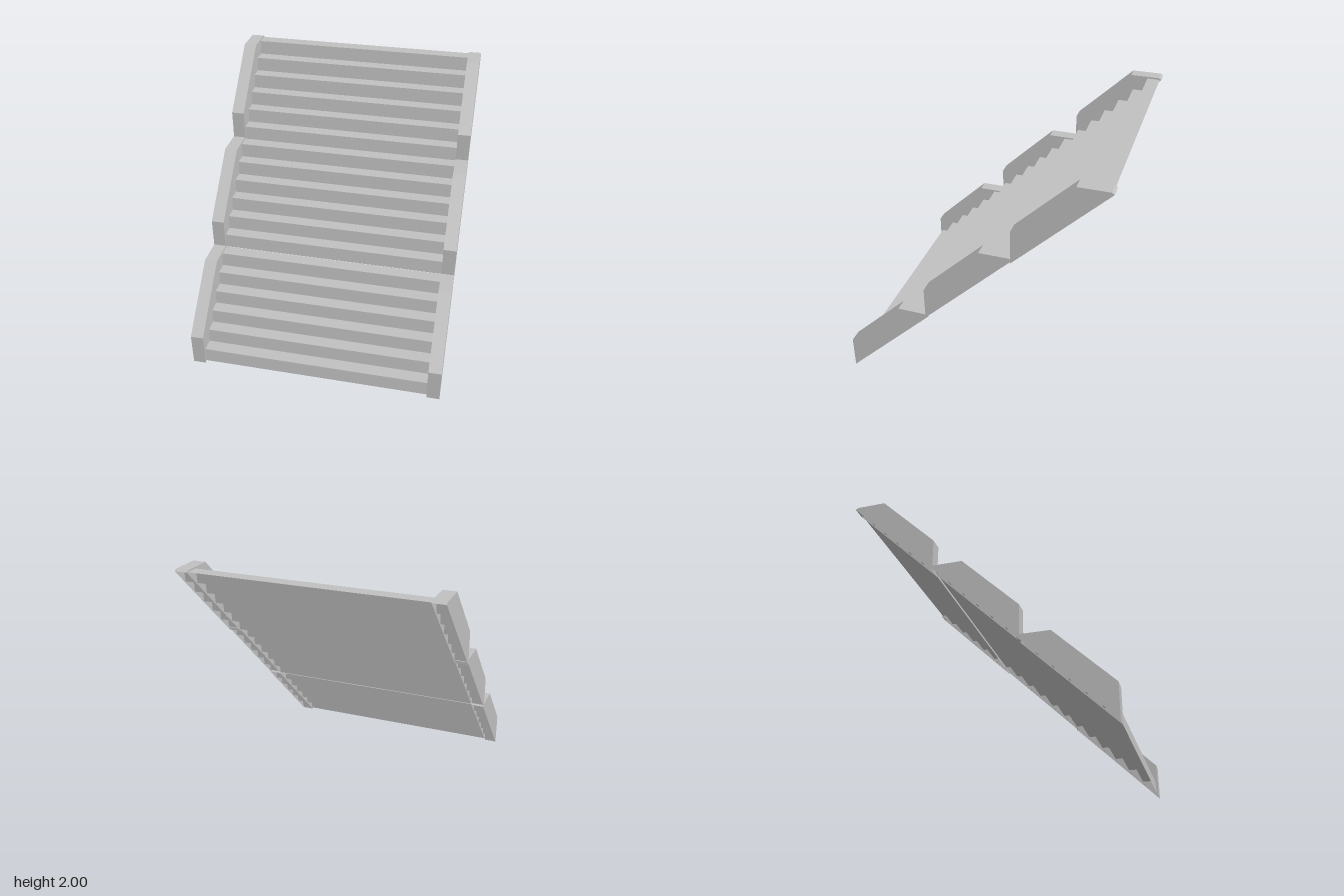
import * as THREE from 'three';

const grey = new THREE.MeshStandardMaterial({ color: 0xbfbfbf, side: THREE.DoubleSide });
grey.name = 'grey';

// Folded sheet: a [z, y] profile swept along x from x0 to x1
function foldedSheet(profile, x0, x1) {
  const pos = [];
  for (let i = 0; i < profile.length - 1; i++) {
    const [za, ya] = profile[i], [zb, yb] = profile[i + 1];
    const a = [x0, ya, za], b = [x1, ya, za], c = [x1, yb, zb], d = [x0, yb, zb];
    pos.push(...a, ...b, ...c, ...a, ...c, ...d);
  }
  const geo = new THREE.BufferGeometry();
  geo.setAttribute('position', new THREE.Float32BufferAttribute(pos, 3));
  geo.computeVertexNormals();
  return geo;
}

// Flat upright plate from a [z, y] outline, placed at x
function sidePlate(outline, x) {
  const shape = new THREE.Shape(outline.map(([z, y]) => new THREE.Vector2(z, y)));
  const geo = new THREE.ShapeGeometry(shape);
  // normals point away from the centre of the stairs
  geo.rotateY(-Math.PI / 2);
  geo.translate(x, 0, 0);
  return geo;
}

export function createModel() {
  const group = new THREE.Group();
  const add = (parent, geo, name) => {
    const mesh = new THREE.Mesh(geo, grey);
    mesh.name = name;
    parent.add(mesh);
  };

  const inner = 0.885, outer = 0.985;
  const rise = 0.1094, stepsPerFlight = 6;
  const offsets = [[0, 0], [0.655, 0.66], [1.32, 1.31]];

  offsets.forEach(([dz, dy], k) => {
    const flight = new THREE.Group();
    flight.name = 'flight' + (k + 1);
    group.add(flight);

    // Thin zigzag of risers and treads, running on under the side rails
    const zigzag = [];
    for (let i = 0; i < stepsPerFlight; i++) {
      const z = 0.99 - dz - i * rise, y = 0.02 + dy + i * rise;
      zigzag.push([z, y], [z - 0.01, y + rise]);
    }
    zigzag.push([0.99 - dz - stepsPerFlight * rise, 0.02 + dy + stepsPerFlight * rise]);
    add(flight, foldedSheet(zigzag, -outer, outer), 'steps');

    // Hollow side rails, open underneath
    const rail = [[1, 0], [1, 0.26], [0.565, 0.69], [0.34, 0.69], [0.32, 0.677]]
      .map(([z, y]) => [z - dz, y + dy]);
    for (const [side, name] of [[1, 'leftRail'], [-1, 'rightRail']]) {
      const railGroup = new THREE.Group();
      railGroup.name = name;
      flight.add(railGroup);
      const xs = side > 0 ? [inner, outer] : [-outer, -inner];
      add(railGroup, foldedSheet(rail, xs[0], xs[1]), 'railCover');
      add(railGroup, sidePlate(rail, side * outer), 'outerWall');
      add(railGroup, sidePlate(rail, side * inner), 'innerWall');
    }
  });
  return group;
}
